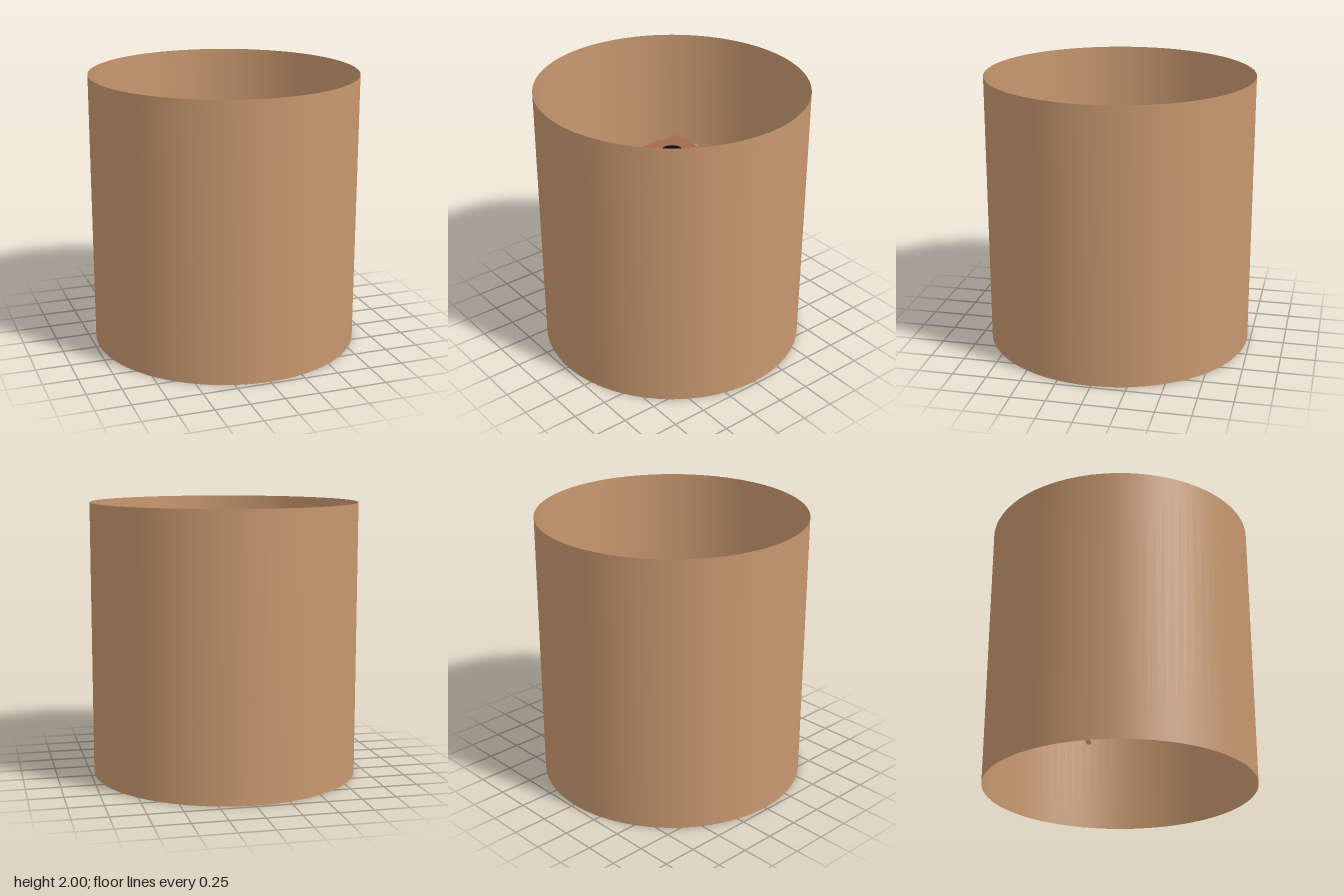
import * as THREE from 'three';
import { mergeGeometries } from 'three/addons/utils/BufferGeometryUtils.js';

const wallMat = new THREE.MeshStandardMaterial({ color: 0xc8986f, side: THREE.DoubleSide });
const towerMat = new THREE.MeshStandardMaterial({ color: 0xa5694b });
const cloudMat = new THREE.MeshStandardMaterial({ color: 0xdcb48c });
const darkMat = new THREE.MeshStandardMaterial({ color: 0x0a0a0a });

let seed = 7;
const rand = () => (seed = (seed * 16807) % 2147483647) / 2147483647;

function add(parent, name, geometry, material, x = 0, y = 0, z = 0) {
  const mesh = new THREE.Mesh(geometry, material);
  mesh.name = name;
  mesh.position.set(x, y, z);
  parent.add(mesh);
  return mesh;
}

// A cloud: a row of overlapping squashed puffs, largest in the middle
function cloudGeometry(width) {
  const puffs = [];
  const count = 6;
  for (let i = 0; i < count; i++) {
    const t = (i / (count - 1)) * 2 - 1;
    const r = width * (0.24 - 0.12 * t * t) * (0.85 + 0.3 * rand());
    const puff = new THREE.SphereGeometry(r, 16, 12);
    puff.scale(1.1, 0.75, 0.95);
    puff.translate(t * width * 0.38, (rand() - 0.5) * width * 0.1, (rand() - 0.5) * width * 0.2);
    puffs.push(puff);
  }
  return mergeGeometries(puffs);
}

// Cloud centres and widths: x, y, z, width
const clouds = [
  [-0.20, 1.10, -0.66, 0.08], [-0.50, 0.90, -0.48, 0.13], [-0.40, 1.20, -0.51, 0.17],
  [-0.31, 0.80, -0.55, 0.13], [-0.24, 1.00, -0.53, 0.07], [-0.38, 1.30, -0.37, 0.12],
  [-0.40, 0.75, -0.27, 0.08], [-0.49, 1.00, -0.14, 0.12], [-0.53, 0.85, 0.05, 0.09],
  [-0.54, 1.15, 0.22, 0.09], [-0.58, 1.00, 0.31, 0.14], [-0.40, 1.25, 0.32, 0.15],
  [-0.35, 0.90, 0.37, 0.10], [-0.43, 1.10, 0.47, 0.20], [-0.35, 0.80, 0.56, 0.08],
  [-0.26, 0.95, 0.57, 0.10], [-0.09, 0.90, 0.57, 0.13], [0.10, 0.68, 0.57, 0.08],
  [0.35, 0.68, 0.56, 0.13], [0.37, 0.68, 0.59, 0.14], [0.48, 1.00, 0.46, 0.15],
  [0.37, 0.65, 0.42, 0.10], [0.48, 0.62, 0.37, 0.12], [0.41, 0.54, 0.23, 0.10],
  [0.53, 0.60, 0.19, 0.11], [0.66, 0.67, 0.07, 0.08], [0.55, 0.90, -0.27, 0.08],
  [0.43, 0.53, -0.27, 0.10], [0.44, 0.95, -0.34, 0.12], [0.44, 1.20, -0.47, 0.20],
  [0.34, 1.00, -0.51, 0.12], [0.20, 0.80, -0.46, 0.09], [0.12, 1.10, -0.62, 0.13],
];

export function createModel() {
  const model = new THREE.Group();
  model.name = 'towerInSkyCylinder';

  // Open surrounding wall
  add(model, 'skyWall', new THREE.CylinderGeometry(0.975, 0.975, 2, 96, 1, true), wallMat, 0, 1, 0);

  // Square tower with a round cap and a dark opening
  const tower = new THREE.Group();
  tower.name = 'tower';
  model.add(tower);
  add(tower, 'towerBody', new THREE.BoxGeometry(0.49, 0.96, 0.49), towerMat, 0, 0.97, 0);
  add(tower, 'roundCap', new THREE.CylinderGeometry(0.197, 0.197, 0.04, 64), towerMat, 0, 1.47, 0);
  add(tower, 'darkOpening', new THREE.CylinderGeometry(0.075, 0.075, 0.01, 48), darkMat, 0, 1.492, 0);

  // Small studs around the cap
  for (const x of [-0.145, 0.145])
    for (const z of [-0.145, 0.145])
      add(tower, 'capStud', new THREE.SphereGeometry(0.009, 12, 8), cloudMat, x, 1.453, z);

  // Ring of clouds
  const ring = new THREE.Group();
  ring.name = 'clouds';
  model.add(ring);
  for (const [x, y, z, width] of clouds) add(ring, 'cloud', cloudGeometry(width), cloudMat, x, y, z);

  return model;
}
